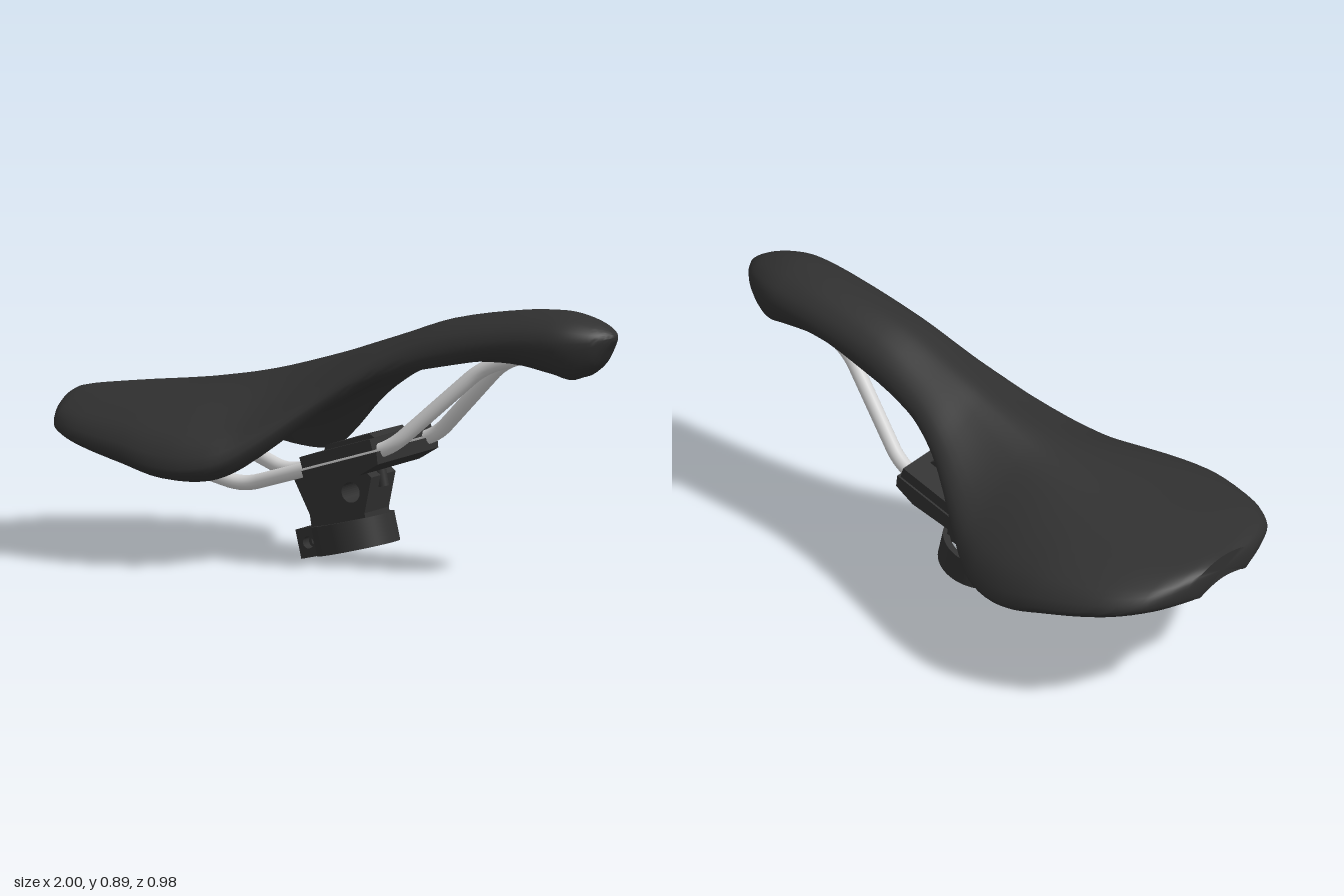
import * as THREE from 'three';
import { toCreasedNormals } from 'three/addons/utils/BufferGeometryUtils.js';

const black = new THREE.MeshStandardMaterial({ color: 0x303030 });
black.name = 'matte black';
const silver = new THREE.MeshStandardMaterial({ color: 0xd0d0d0 });
silver.name = 'rail silver';

function add(parent, name, geometry, material = black) {
  const mesh = new THREE.Mesh(geometry, material);
  mesh.name = name;
  parent.add(mesh);
  return mesh;
}

// Stations along the saddle: x, ridge y, edge y, lip bottom y, half width
const STATIONS = [
  [-1, .508, .455, .412, .15],
  [-.97, .514, .445, .405, .235],
  [-.92, .52, .43, .398, .325],
  [-.8, .535, .41, .375, .415],
  [-.6, .56, .38, .335, .478],
  [-.45, .585, .345, .3, .487],
  [-.3, .615, .35, .3, .452],
  [-.2, .64, .395, .345, .395],
  [0, .7, .55, .51, .257],
  [.1, .735, .62, .58, .206],
  [.2, .77, .67, .635, .176],
  [.4, .84, .74, .693, .152],
  [.65, .885, .785, .713, .145],
  [.8, .895, .8, .69, .142],
  [.87, .887, .805, .676, .128],
  [.94, .866, .808, .72, .092],
  [.98, .845, .815, .78, .052],
  [1, .828, .82, .812, .015],
];

// Smooth interpolation of all columns inside interval i
function station(i, t) {
  const last = STATIONS.length - 1;
  const [p, a, b, q] = [i - 1, i, i + 1, i + 2].map(k => STATIONS[Math.min(last, Math.max(0, k))]);
  const h = b[0] - a[0];
  return a.map((v, k) => {
    if (k === 0) return v + h * t;
    const ma = (b[k] - p[k]) / (b[0] - p[0]) * h, mb = (q[k] - v) / (q[0] - a[0]) * h;
    const t2 = t * t, t3 = t2 * t;
    return (2 * t3 - 3 * t2 + 1) * v + (t3 - 2 * t2 + t) * ma + (3 * t2 - 2 * t3) * b[k] + (t3 - t2) * mb;
  });
}

const { lerp, smoothstep } = THREE.MathUtils;
const THICKNESS = .083;
const TOP_U = [0, .2, .4, .6, .8, .92, 1];
const DOME = [0, .03, .11, .23, .44, .65, 1];
const FLARE = [0, .08, .25, .43, .62, .78, 1];
const LIP_U = [.98, .88, .77, .6, .3, 0], INNER_F = [0, 0, .42, .26, .08, 0];
const NOSE_U = [.93, .76, .56, .36, .16, 0], NOSE_F = [.4, .75, .93, 1, 1, 1];

// Closed cross-section ring: over the top, round the lip, back underneath.
// The flanks flare at the waist and the underside closes towards the nose.
function section([x, top, edge, low, w]) {
  const flare = Math.exp(-(((x + .1) / .27) ** 2)), closed = smoothstep(x, .38, .62);
  const half = TOP_U.map((u, i) => [u * w, top - (top - edge) * lerp(DOME[i], FLARE[i], flare)]);
  LIP_U.forEach((u, i) => {
    const inner = i === 0 ? (edge + low) / 2 : i === 1 ? low : top - (top - edge) * INNER_F[i] - THICKNESS;
    half.push([w * lerp(u, NOSE_U[i], closed), lerp(inner, edge - (edge - low) * NOSE_F[i], closed)]);
  });
  const mirrored = half.slice(1, -1).reverse().map(([z, y]) => [-z, y]);
  const pts = half.concat(mirrored).map(([z, y]) => new THREE.Vector3(x, y, z));
  return new THREE.CatmullRomCurve3(pts, true).getPoints(pts.length * 2).slice(0, -1);
}

function saddleGeometry() {
  const rings = [];
  for (let i = 0; i < STATIONS.length - 1; i++)
    for (let s = 0; s < 4; s++) rings.push(section(station(i, s / 4)));
  rings.push(section(STATIONS[STATIONS.length - 1]));
  const n = rings[0].length, verts = rings.flat(), index = [];
  for (let i = 0; i < rings.length - 1; i++)
    for (let j = 0; j < n; j++) {
      const a = i * n + j, b = i * n + (j + 1) % n;
      index.push(a, b, a + n, b, b + n, a + n);
    }
  // end caps
  [0, rings.length - 1].forEach((r, end) => {
    const c = verts.length;
    verts.push(rings[r].reduce((s, p) => s.add(p), new THREE.Vector3()).divideScalar(n));
    for (let j = 0; j < n; j++) {
      const a = r * n + j, b = r * n + (j + 1) % n;
      index.push(c, end ? a : b, end ? b : a);
    }
  });
  const g = new THREE.BufferGeometry().setFromPoints(verts);
  g.setIndex(index);
  return toCreasedNormals(g, 0.9);
}

// Polyline with rounded corners
function bentPath(points, r) {
  const v = points.map(p => new THREE.Vector3(...p));
  const path = new THREE.CurvePath();
  let from = v[0];
  for (let i = 1; i < v.length - 1; i++) {
    const a = v[i].clone().add(v[i - 1].clone().sub(v[i]).setLength(r));
    const b = v[i].clone().add(v[i + 1].clone().sub(v[i]).setLength(r));
    path.add(new THREE.LineCurve3(from, a));
    path.add(new THREE.QuadraticBezierCurve3(a, v[i], b));
    from = b;
  }
  path.add(new THREE.LineCurve3(from, v[v.length - 1]));
  return path;
}

// Side profile in x/y extruded across z, with optional round hole
function slab(points, z0, z1, hole) {
  const shape = new THREE.Shape(points.map(p => new THREE.Vector2(...p)));
  if (hole) shape.holes.push(new THREE.Path().absarc(hole[0], hole[1], hole[2], 0, Math.PI * 2, true));
  const g = new THREE.ExtrudeGeometry(shape, { depth: z1 - z0, bevelEnabled: false, curveSegments: 16 });
  return g.translate(0, 0, z0);
}

export function createModel() {
  const model = new THREE.Group();
  model.name = 'bicycleSaddle';
  add(model, 'saddleShell', saddleGeometry());

  // Rails and their rear sockets
  for (const s of [1, -1]) {
    const path = bentPath([
      [.7, .745, .055 * s], [.54, .695, .068 * s], [.245, .418, .155 * s],
      [-.31, .252, .155 * s], [-.46, .3, .19 * s], [-.76, .39, .27 * s],
    ], .06);
    add(model, s > 0 ? 'frontRail' : 'backRail', new THREE.TubeGeometry(path, 90, .025, 14), silver);
    const socket = add(model, 'railSocket', new THREE.SphereGeometry(.06, 20, 14));
    socket.scale.set(1.25, .85, 1);
    socket.position.set(-.745, .388, .268 * s);
  }

  // Rail clamp, tilted to follow the rails
  const clamp = new THREE.Group();
  clamp.name = 'railClamp';
  clamp.position.set(.075, .37, 0);
  clamp.rotation.z = .295;
  model.add(clamp);
  add(clamp, 'upperPlate', slab([[-.14, .004], [.135, .004], [.135, .042], [-.14, .042]], -.205, .205));
  add(clamp, 'lowerPlate', slab([[-.145, -.05], [.06, -.065], [.14, -.045], [.148, -.004], [-.145, -.004]], -.205, .205));
  add(clamp, 'crossBar', slab([[-.1, .04], [.1, .04], [.085, .058], [-.085, .058]], -.11, .11));

  // Neck between clamp and collar
  add(model, 'neck', slab(
    [[-.172, .298], [-.1, .16], [-.09, .1], [.11, .15], [.105, .18], [.13, .3], [.1, .325], [-.05, .3]],
    -.082, .082, [.053, .245, .034]));
  const bolt = add(model, 'clampBolt', new THREE.CylinderGeometry(.02, .02, .07, 12));
  bolt.position.set(.122, .295, 0);
  bolt.rotation.z = .2;

  // Split seat-post collar with two pierced ears
  const collar = new THREE.Group();
  collar.name = 'postCollar';
  collar.position.set(0, .09, 0);
  collar.rotation.z = .23;
  model.add(collar);
  const gap = .08, ring = new THREE.Shape();
  ring.absarc(0, 0, .139, -Math.PI + gap, Math.PI - gap, false);
  ring.absarc(0, 0, .116, Math.PI - gap, -Math.PI + gap, true);
  const ringGeometry = new THREE.ExtrudeGeometry(ring, { depth: .098, bevelEnabled: false, curveSegments: 40 });
  ringGeometry.rotateX(-Math.PI / 2).translate(.027, -.049, 0);
  add(collar, 'collarRing', toCreasedNormals(ringGeometry, 0.5));
  const ear = [[-.165, -.049], [-.092, -.049], [-.092, .049], [-.165, .049]];
  add(collar, 'frontEar', slab(ear, .009, .05, [-.127, 0, .02]));
  add(collar, 'backEar', slab(ear, -.05, -.009, [-.127, 0, .02]));
  return model;
}
